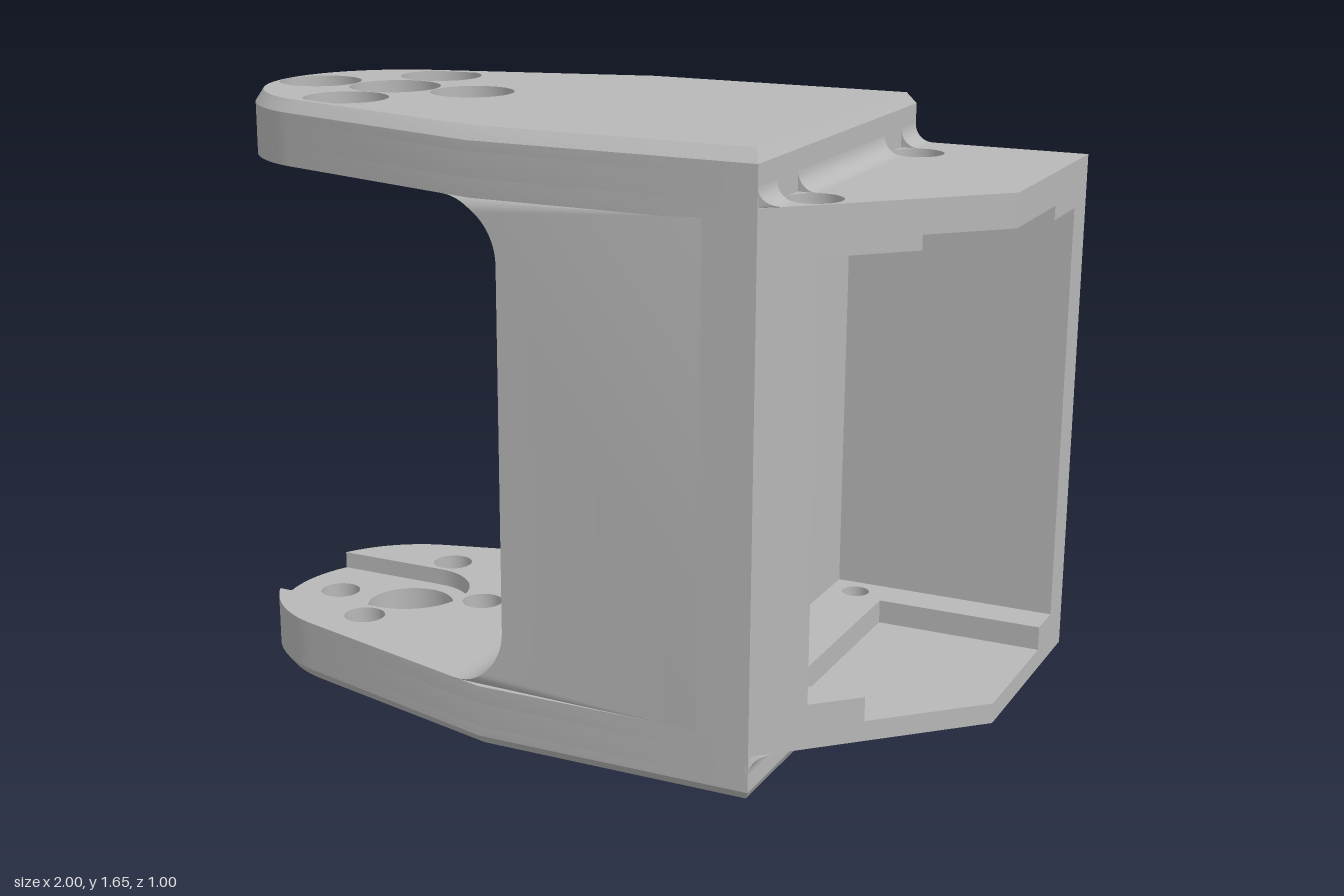
import * as THREE from 'three';
import { toCreasedNormals } from 'three/addons/utils/BufferGeometryUtils.js';

const gray = new THREE.MeshStandardMaterial({ color: 0xb8b8b8 });
gray.name = 'plain gray';

const MID = 0.895;          // height of the mirror plane between the two arms
const HUB = -0.65;          // x of the pivot
const V = (x, y) => new THREE.Vector2(x, y);

function arc(cx, cy, rx, ry, from, to, n) {
  return Array.from({ length: n + 1 }, (_, i) => {
    const a = THREE.MathUtils.degToRad(from + (to - from) * i / n);
    return V(cx + rx * Math.cos(a), cy + ry * Math.sin(a));
  });
}

const hole = (x, z, r, n = 32) => {
  const pts = arc(x, z, r, r, 0, 360, n);
  pts.pop();
  return new THREE.Path(pts);
};

function extrude(points, depth, holes = []) {
  const shape = new THREE.Shape(points);
  shape.holes.push(...holes);
  return new THREE.ExtrudeGeometry(shape, { depth, bevelEnabled: false });
}

function add(parent, name, geo) {
  const mesh = new THREE.Mesh(toCreasedNormals(geo, 0.5), gray);
  mesh.name = name;
  parent.add(mesh);
  return mesh;
}

// Plan outline (x, z) extruded between two heights
const slab = (points, y0, y1, holes) =>
  extrude(points, y1 - y0, holes).rotateX(Math.PI / 2).translate(0, y1, 0);

function moveVertices(geo, rule) {
  const p = geo.attributes.position;
  const v = new THREE.Vector3();
  for (let i = 0; i < p.count; i++) {
    rule(v.fromBufferAttribute(p, i));
    p.setXYZ(i, v.x, v.y, v.z);
  }
  return geo;
}

// Arm plan: square at the body, tapering to a round hub, optionally with an open channel
function armOutline(channel) {
  const tip = channel
    ? [...arc(HUB, 0, 0.35, 0.35, 105.3, 152.8, 16),
      ...arc(HUB, 0, 0.16, 0.16, 90, -90, 24),
      ...arc(HUB, 0, 0.35, 0.35, 207.2, 254.7, 16)]
    : arc(HUB, 0, 0.35, 0.35, 105.3, 254.7, 48);
  return [V(0.56, -0.5), V(0.56, 0.5), V(-0.15, 0.5), ...tip, V(-0.15, -0.5)];
}

function createArm(name) {
  const arm = new THREE.Group();
  arm.name = name;
  const spots = [[HUB + 0.225, 0], [HUB, 0.225], [HUB, -0.225], [HUB - 0.225, 0]];
  const bores = (r) => spots.map(([x, z]) => hole(x, z, r));
  const centre = () => hole(HUB, 0, 0.115, 48);

  add(arm, 'armInnerLayer', slab(armOutline(true), 0.595, 0.64, bores(0.053).slice(0, 3)));
  add(arm, 'armCore', slab(armOutline(false), 0.64, 0.7, [centre(), ...bores(0.053)]));
  add(arm, 'armCounterbores', slab(armOutline(false), 0.7, 0.725, [centre(), ...bores(0.105)]));

  // Chamfered outer face: only the rim moves in, the holes stay straight
  const inHole = (v) => Math.hypot(v.x - HUB, v.z) < 0.117
    || spots.some(([x, z]) => Math.hypot(v.x - x, v.z - z) < 0.107);
  const face = slab(armOutline(false), 0.725, 0.755, [centre(), ...bores(0.105)]);
  add(arm, 'armChamferedFace', moveVertices(face, (v) => {
    if (v.y > 0.75 && !inHole(v)) {
      v.x = -0.18 + (v.x + 0.18) * 0.978;
      v.z *= 0.94;
    }
  }));
  return arm;
}

function createBracket() {
  const bracket = new THREE.Group();
  bracket.name = 'bracket';
  const edgeX = (z) => 0.56 + (0.5 - z) * 0.44 / 0.43;   // slanted front corner
  const plan = [V(0.43, -0.5), V(1, -0.5), V(1, 0.07), V(0.56, 0.5), V(0.43, 0.5)];
  const notched = (w) => [V(0.43, -0.5), V(1, -0.5), V(1, -w), V(0.58, -w), V(0.58, w),
    V(edgeX(w), w), V(0.56, 0.5), V(0.43, 0.5)];
  const pair = (x, r, n) => [-0.335, 0.335].map((z) => hole(x, z, r, n));

  // Pocket side walls
  add(bracket, 'backWall', slab([V(0.43, -0.5), V(1, -0.5), V(1, -0.4), V(0.43, -0.4)], -0.525, 0.515));
  add(bracket, 'frontWall', slab([V(0.43, 0.4), V(edgeX(0.4), 0.4), V(0.56, 0.5), V(0.43, 0.5)], -0.525, 0.515));

  // Shelves: recessed inner layer, solid web, screw sockets, counterbores
  const shelves = [
    { s: 1, name: 'upper', w: 0.23, y: [0.515, 0.55, 0.57, 0.59, 0.63] },
    { s: -1, name: 'lower', w: 0.3, y: [0.525, 0.585, 0.595, 0.61, 0.635] },
  ];
  for (const { s, name, w, y } of shelves) {
    const layer = (part, pts, i, holes) => add(bracket, name + part,
      slab(pts, Math.min(s * y[i], s * y[i + 1]), Math.max(s * y[i], s * y[i + 1]), holes));
    layer('ShelfRecess', notched(w), 0, pair(0.5, 0.035, 24));
    layer('ShelfWeb', plan, 1);
    layer('ShelfSockets', plan, 2, pair(0.625, 0.042, 6));
    layer('ShelfCounterbores', plan, 3, pair(0.625, 0.064, 32));

    // Concave fillet against the arm, interrupted at the screw holes
    const r = 0.045;
    const profile = [V(0.55, s * y[4]), ...arc(0.56 + r, s * (y[4] + r), r, r, -90 * s, -180 * s, 8)
      .map((p) => p), V(0.55, s * (y[4] + r))];
    for (const [z0, z1] of [[-0.5, -0.395], [-0.275, 0.275], [0.395, 0.5]]) {
      const geo = extrude(profile, z1 - z0).translate(0, 0, z0);
      add(bracket, name + 'Fillet', moveVertices(geo, (v) => {
        if (v.z > 0.45 && v.x > 0.56) v.z = 0.5 - (v.x - 0.56) * 0.977;
      }));
    }
  }
  return bracket;
}

// Central body with rounded inner corners running into the arms
function createBody() {
  const curve = arc(-0.23, 0.445, 0.15, 0.15, 90, 0, 16);
  const lower = curve.map((p) => V(p.x, -p.y)).reverse();
  const profile = [V(0.43, 0.6), V(-0.23, 0.6), ...curve, ...lower, V(-0.23, -0.6), V(0.43, -0.6)];
  return moveVertices(extrude(profile, 1).translate(0, 0, -0.5), (v) => {
    if (v.x < -0.15) v.z -= Math.sign(v.z) * (-0.15 - v.x) * 0.274;
  });
}

// One half of the cable clip: keyhole side, slot and rounded outer edge
function createClipHalf(side) {
  const pts = [V(0.03, 0), ...arc(0.18, 0.02, 0.02, 0.02, -90, 0, 6), V(0.2, 0.15), V(0.076, 0.15),
    ...arc(0, 0.105, 0.09, 0.065, 32.6, -70.5, 18)];
  return extrude(pts.map((p) => V(side * p.x, p.y)), 0.335)
    .rotateY(Math.PI / 2).translate(-0.09, 0, 0);
}

export function createModel() {
  const model = new THREE.Group();
  model.name = 'servoBracket';

  const frame = new THREE.Group();
  frame.name = 'frame';
  frame.position.y = MID;
  add(frame, 'body', createBody());
  const lowerArm = createArm('lowerArm');
  lowerArm.rotation.x = Math.PI;
  frame.add(createArm('upperArm'), lowerArm, createBracket());
  model.add(frame);

  for (const side of [-1, 1]) add(model, 'cableClip', createClipHalf(side));
  return model;
}
